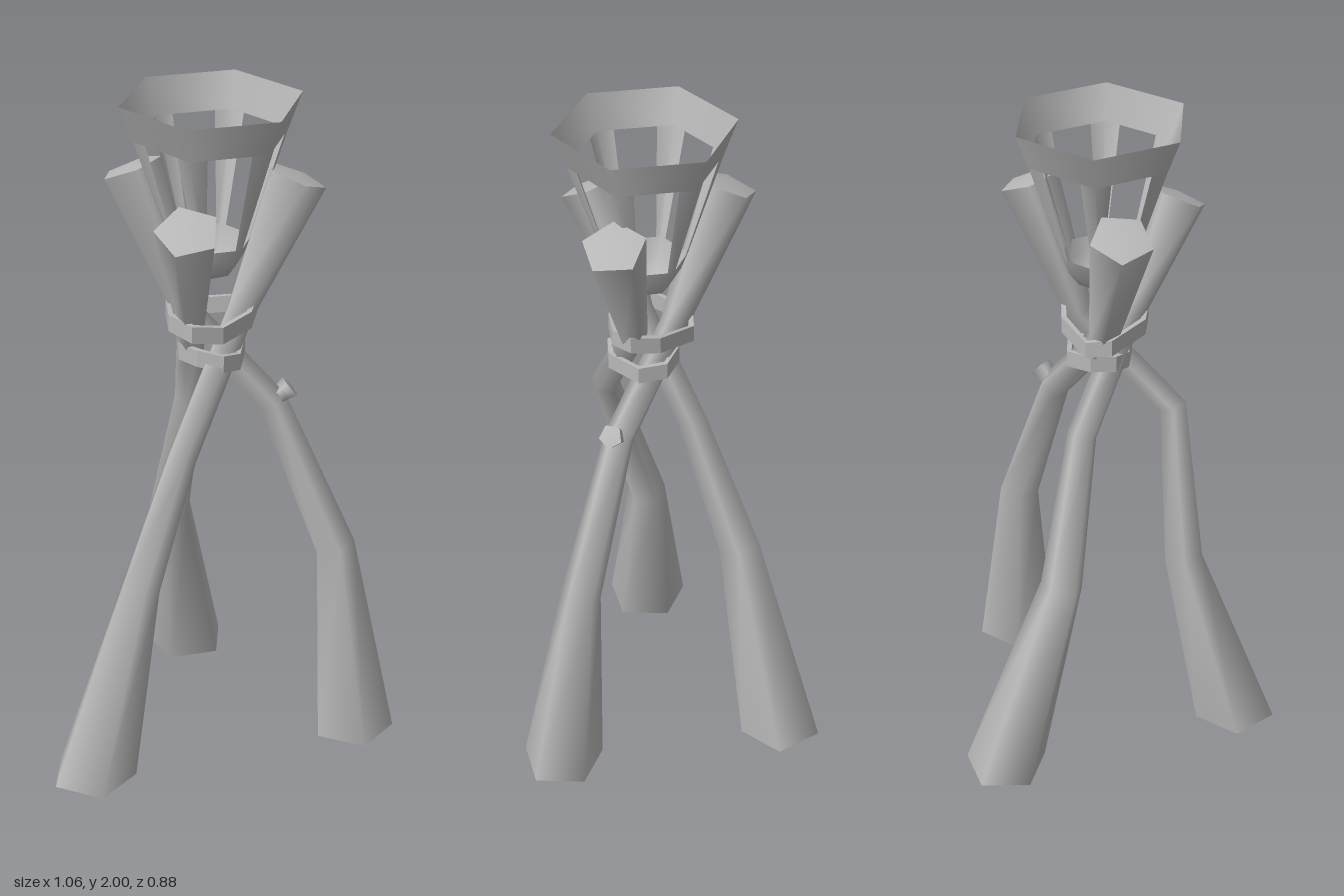
import * as THREE from 'three';

const V = (x, y, z) => new THREE.Vector3(x, y, z);
const gray = new THREE.MeshStandardMaterial({ color: 0xb8b8b8, side: THREE.DoubleSide });
gray.name = 'plain gray';

function makeGeometry(points, index) {
  const g = new THREE.BufferGeometry().setFromPoints(points);
  g.setIndex(index);
  g.computeVertexNormals();
  return g;
}

// Tapered, bent log: joints are [x, y, z, radius], swept with a regular cross-section
function logGeometry(joints, phase, sides = 5, flatFoot = true, dome = 0.012) {
  const centres = joints.map(j => V(j[0], j[1], j[2]));
  const last = joints.length - 1, up = V(0, 1, 0);
  const points = [], index = [], rings = [], tangents = [];
  centres.forEach((c, k) => {
    const before = c.clone().sub(centres[Math.max(k - 1, 0)]).normalize();
    const after = centres[Math.min(k + 1, last)].clone().sub(c).normalize();
    const t = k === 0 && flatFoot ? up.clone() : before.add(after).normalize();
    const q = new THREE.Quaternion().setFromUnitVectors(up, t);
    const ring = [];
    for (let i = 0; i < sides; i++) {
      const a = phase + i * 2 * Math.PI / sides;
      ring.push(V(Math.cos(a), 0, Math.sin(a)).multiplyScalar(joints[k][3]).applyQuaternion(q).add(c));
    }
    rings.push(ring);
    tangents.push(t);
    points.push(...ring);
  });
  for (let k = 0; k < last; k++) {
    for (let i = 0; i < sides; i++) {
      const a = k * sides + i, b = k * sides + (i + 1) % sides;
      index.push(a, a + sides, b, b, a + sides, b + sides);
    }
  }
  // Caps have their own corners so the end edges stay sharp
  for (const [k, lift] of [[0, 0], [last, dome]]) {
    const s = points.length;
    points.push(...rings[k].map(p => p.clone()), centres[k].clone().addScaledVector(tangents[k], lift));
    for (let i = 0; i < sides; i++) {
      const n = (i + 1) % sides;
      if (k) index.push(s + sides, s + n, s + i);
      else index.push(s + sides, s + i, s + n);
    }
  }
  return makeGeometry(points, index);
}

// Flat strap around the crossing; path points are [x, y, z]
function strapGeometry(path, height, thickness) {
  const n = path.length, points = [], index = [];
  const cx = path.reduce((s, p) => s + p[0], 0) / n, cz = path.reduce((s, p) => s + p[2], 0) / n;
  const corners = path.map(([x, y, z]) => {
    const out = V(x - cx, 0, z - cz).normalize().multiplyScalar(thickness);
    const h = height / 2;
    return [V(x, y - h, z), V(x, y + h, z), V(x, y + h, z).sub(out), V(x, y - h, z).sub(out)];
  });
  for (let i = 0; i < n; i++) {
    const a = corners[i], b = corners[(i + 1) % n];
    for (let c = 0; c < 4; c++) {
      const d = (c + 1) % 4, s = points.length;
      points.push(a[c], a[d], b[d], b[c]);
      index.push(s, s + 2, s + 1, s, s + 3, s + 2);
    }
  }
  return makeGeometry(points, index);
}

// One folded bar on a corner of the six-sided basket
function barGeometry(k) {
  const corner = (i, r, y) => V(Math.cos(i * Math.PI / 3) * r, y, Math.sin(i * Math.PI / 3) * r);
  const row = (r, y, share) => {
    const mid = corner(k, r, y);
    return [mid.clone().lerp(corner(k - 1, r, y), share), mid, mid.clone().lerp(corner(k + 1, r, y), share)];
  };
  const points = [...row(0.215, 1.9, 0.22), ...row(0.115, 1.6, 0.14)];
  return makeGeometry(points, [0, 1, 3, 1, 4, 3, 1, 2, 4, 2, 5, 4]);
}

export function createModel() {
  const model = new THREE.Group();
  const add = (name, geometry, parent = model) => {
    const mesh = new THREE.Mesh(geometry, gray);
    mesh.name = name;
    parent.add(mesh);
    return mesh;
  };

  // Three crossing logs
  add('rightLog', logGeometry([
    [-0.41, 0, 0.31, 0.128], [-0.245, 0.58, 0.24, 0.06], [-0.14, 1.04, 0.325, 0.043],
    [0.075, 1.38, 0.145, 0.042], [0.235, 1.76, 0.13, 0.09]], Math.PI / 2));
  add('leftLog', logGeometry([
    [0.41, 0, 0.27, 0.126], [0.352, 0.62, 0.215, 0.062], [0.172, 1.09, 0.155, 0.045],
    [-0.055, 1.36, 0.07, 0.042], [-0.185, 1.765, -0.04, 0.09]], Math.PI / 2));
  add('backLog', logGeometry([
    [0.036, 0, -0.313, 0.126], [-0.055, 0.61, -0.138, 0.065], [-0.03, 1.06, 0.005, 0.045],
    [-0.07, 1.38, 0.18, 0.042], [-0.125, 1.72, 0.345, 0.09]], -Math.PI / 2));

  // Cut branch stub on the left log
  add('branchStub', logGeometry([
    [0.165, 1.09, 0.155, 0.025], [0.205, 1.115, 0.157, 0.03], [0.225, 1.13, 0.158, 0.036]],
    0, 5, false, 0.005));

  // Straps binding the crossing
  add('upperStrap', strapGeometry([
    [-0.135, 1.38, 0.17], [-0.09, 1.375, 0.255], [0, 1.36, 0.25], [0.095, 1.375, 0.2],
    [0.13, 1.385, 0.13], [0.08, 1.37, 0.06], [-0.04, 1.35, 0.005], [-0.11, 1.365, 0.035]], 0.05, 0.015));
  add('lowerStrap', strapGeometry([
    [-0.1, 1.275, 0.14], [-0.065, 1.28, 0.21], [0.0, 1.275, 0.255], [0.055, 1.265, 0.23],
    [0.1, 1.265, 0.12], [0.055, 1.27, 0.05], [-0.03, 1.28, 0.045], [-0.09, 1.28, 0.09]], 0.05, 0.015));

  // Six-sided fire basket: rim, bars and bowl
  const basket = new THREE.Group();
  basket.name = 'basket';
  basket.position.set(-0.003, 0, 0.13);
  model.add(basket);
  add('rim', new THREE.CylinderGeometry(0.253, 0.215, 0.1, 6, 1, true, Math.PI / 6), basket).position.y = 1.95;
  for (let k = 0; k < 6; k++) add('basketBar', barGeometry(k), basket);
  const bowlProfile = [[0, 1.48], [0.065, 1.51], [0.095, 1.55], [0.115, 1.6]].map(p => new THREE.Vector2(...p));
  add('bowl', new THREE.LatheGeometry(bowlProfile, 6, Math.PI / 6), basket);

  return model;
}
